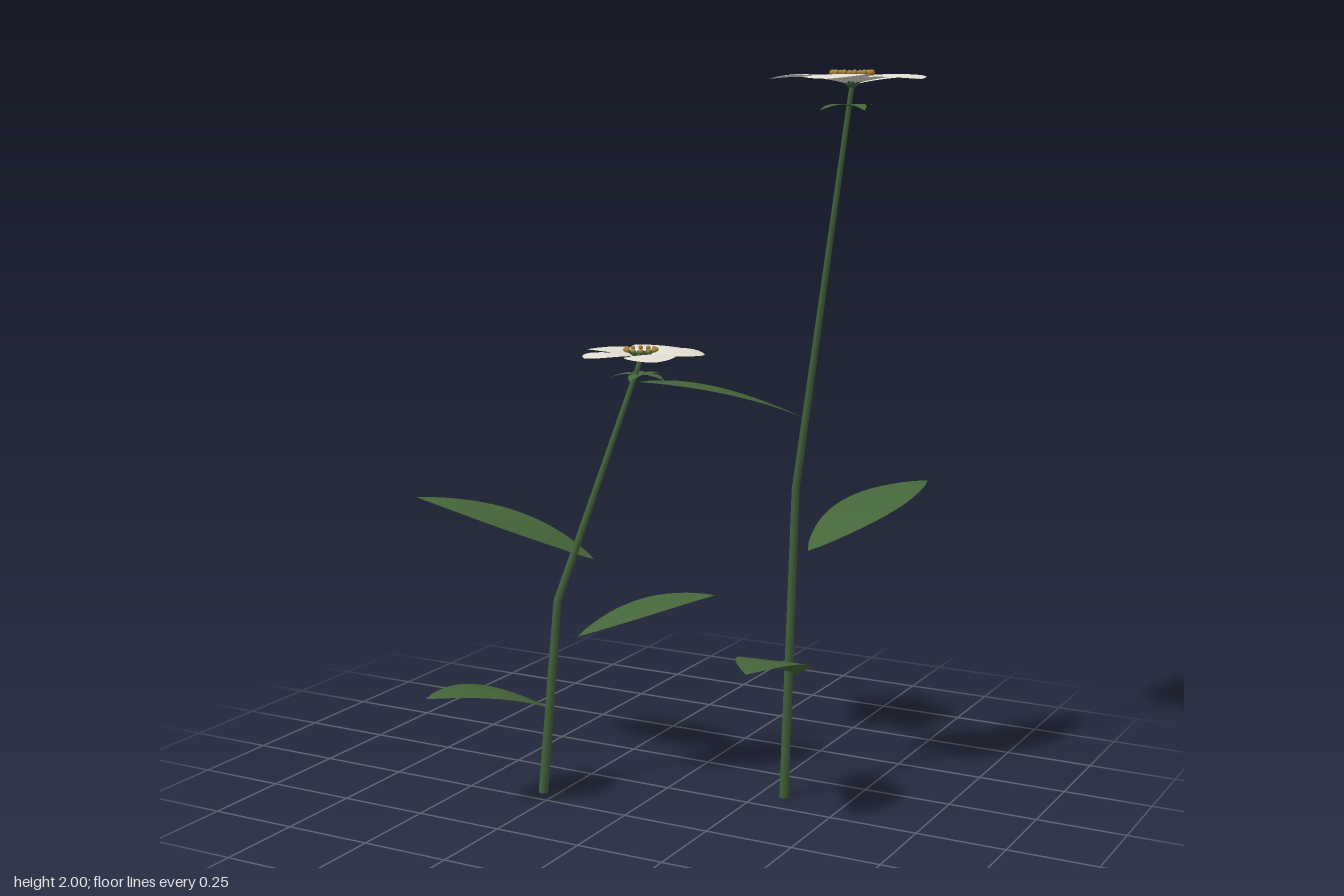
import * as THREE from 'three';

const mat = (name, color, side = THREE.FrontSide) => {
  const m = new THREE.MeshStandardMaterial({ color, side });
  m.name = name;
  return m;
};
const leafGreen = mat('leaf green', 0x46663a, THREE.DoubleSide);
const stemGreen = mat('stem green', 0x40603a);
const petalCream = mat('petal cream', 0xe4dfd2, THREE.DoubleSide);
const antherGold = mat('anther gold', 0xb0863c);

const V = (x, y, z) => new THREE.Vector3(x, y, z);

function add(parent, name, geometry, material) {
  const mesh = new THREE.Mesh(geometry, material);
  mesh.name = name;
  parent.add(mesh);
  return mesh;
}

// Thin blade running along +x: half width and height are functions of t = 0..1
function blade(length, halfWidth, height, cup = 0, nu = 16, nv = 6) {
  const pos = [], idx = [];
  for (let i = 0; i <= nu; i++) {
    const t = i / nu;
    for (let j = 0; j <= nv; j++) {
      const s = (j / nv) * 2 - 1;
      pos.push(length * t, height(t) + cup * s * s * Math.sin(Math.PI * t), s * halfWidth(t));
      if (i < nu && j < nv) {
        const a = i * (nv + 1) + j, b = a + nv + 1;
        idx.push(a, a + 1, b, a + 1, b + 1, b);
      }
    }
  }
  const g = new THREE.BufferGeometry();
  g.setAttribute('position', new THREE.Float32BufferAttribute(pos, 3));
  g.setIndex(idx);
  g.computeVertexNormals();
  return g;
}

// Tapered rod between two points
function rod(parent, name, a, b, ra, rb, material, sides = 8) {
  const d = b.clone().sub(a);
  const mesh = add(parent, name, new THREE.CylinderGeometry(rb, ra, d.length(), sides), material);
  mesh.position.copy(a).add(b).multiplyScalar(0.5);
  mesh.quaternion.setFromUnitVectors(V(0, 1, 0), d.normalize());
  return mesh;
}

// Arched leaf from base to tip; mid is the share of the rise reached halfway
function leaf(parent, base, tip, width, mid) {
  const d = tip.clone().sub(base);
  const k = 4 * mid - 1;
  const g = blade(
    Math.hypot(d.x, d.z),
    t => (width / 2) * Math.pow(Math.max(0, Math.sin(Math.PI * Math.pow(t, 0.95))), 0.85),
    t => d.y * (k * t + (1 - k) * t * t)
  );
  const mesh = add(parent, 'leaf', g, leafGreen);
  mesh.position.copy(base);
  mesh.rotation.y = -Math.atan2(d.z, d.x);
}

// Five-petalled flower, modelled with petal length 1
function flower(size, startAngle) {
  const f = new THREE.Group();
  f.name = 'flower';
  const petal = blade(
    1,
    t => 0.4 * Math.pow(Math.max(0, Math.sin(Math.PI * Math.pow(t, 1.5))), 0.62),
    t => 0.42 * t - 0.35 * t * t,
    -0.02, 20, 8
  );
  const sepal = blade(
    0.47,
    t => 0.095 * Math.pow(Math.max(0, Math.sin(Math.PI * Math.pow(t, 0.9))), 0.9),
    t => 0.16 * t - 0.2 * t * t
  );
  for (let i = 0; i < 5; i++) {
    const a = startAngle + (i * Math.PI * 2) / 5;
    const p = add(f, 'petal', petal, petalCream);
    p.rotation.set(0.03, -a, 0, 'YXZ'); // slight roll lets neighbours overlap
    const s = add(f, 'sepal', sepal, leafGreen);
    s.position.y = -0.26;
    s.rotation.y = -a - Math.PI / 5;
  }
  // Stamens around a small pistil
  const ball = new THREE.SphereGeometry(0.036, 10, 8);
  const count = 12;
  for (let i = 0; i < count; i++) {
    const a = (i / count) * Math.PI * 2, c = Math.cos(a), s = Math.sin(a);
    const end = V(0.24 * c, 0.145, 0.24 * s);
    rod(f, 'filament', V(0.04 * c, 0, 0.04 * s), end, 0.016, 0.012, stemGreen, 5);
    add(f, 'anther', ball, antherGold).position.copy(end);
  }
  const pistil = add(f, 'pistil', new THREE.SphereGeometry(0.09, 12, 8), stemGreen);
  pistil.position.y = 0.05;
  f.scale.setScalar(size);
  return f;
}

function plant(name, { base, bend, top, size, angle, leaves }) {
  const g = new THREE.Group();
  g.name = name;
  rod(g, 'lowerStem', base, bend, 0.014, 0.0115, stemGreen);
  rod(g, 'upperStem', bend, top, 0.0115, 0.007, stemGreen);
  add(g, 'stemJoint', new THREE.SphereGeometry(0.0115, 8, 6), stemGreen).position.copy(bend);
  for (const [from, tip, width, mid] of leaves) leaf(g, from, tip, width, mid);
  const f = flower(size, angle);
  f.position.copy(top);
  g.add(f);
  return g;
}

export function createModel() {
  const model = new THREE.Group();
  model.name = 'floweringPlants';
  model.add(
    plant('shortPlant', {
      base: V(-0.29, 0, 0.2), bend: V(-0.258, 0.55, 0.167), top: V(-0.095, 1.217, -0.02),
      size: 0.178, angle: THREE.MathUtils.degToRad(-96),
      leaves: [
        [V(-0.255, 0.225, 0.16), V(-0.45, 0.34, 0.535), 0.18, 0.85],
        [V(-0.22, 0.443, 0.123), V(0.088, 0.545, -0.117), 0.18, 0.76],
        [V(-0.187, 0.66, 0.085), V(-0.71, 0.805, 0.19), 0.195, 0.7],
      ],
    }),
    plant('tallPlant', {
      base: V(0.323, 0, -0.085), bend: V(0.349, 0.88, -0.084), top: V(0.498, 1.962, -0.08),
      size: 0.215, angle: THREE.MathUtils.degToRad(12),
      leaves: [
        [V(0.357, 0.36, -0.084), V(0.39, 0.465, 0.3), 0.185, 0.87],
        [V(0.388, 0.713, -0.083), V(0.555, 0.845, -0.54), 0.195, 0.72],
        [V(0.418, 1.062, -0.083), V(0.057, 1.2, 0.268), 0.19, 0.72],
      ],
    })
  );
  return model;
}
